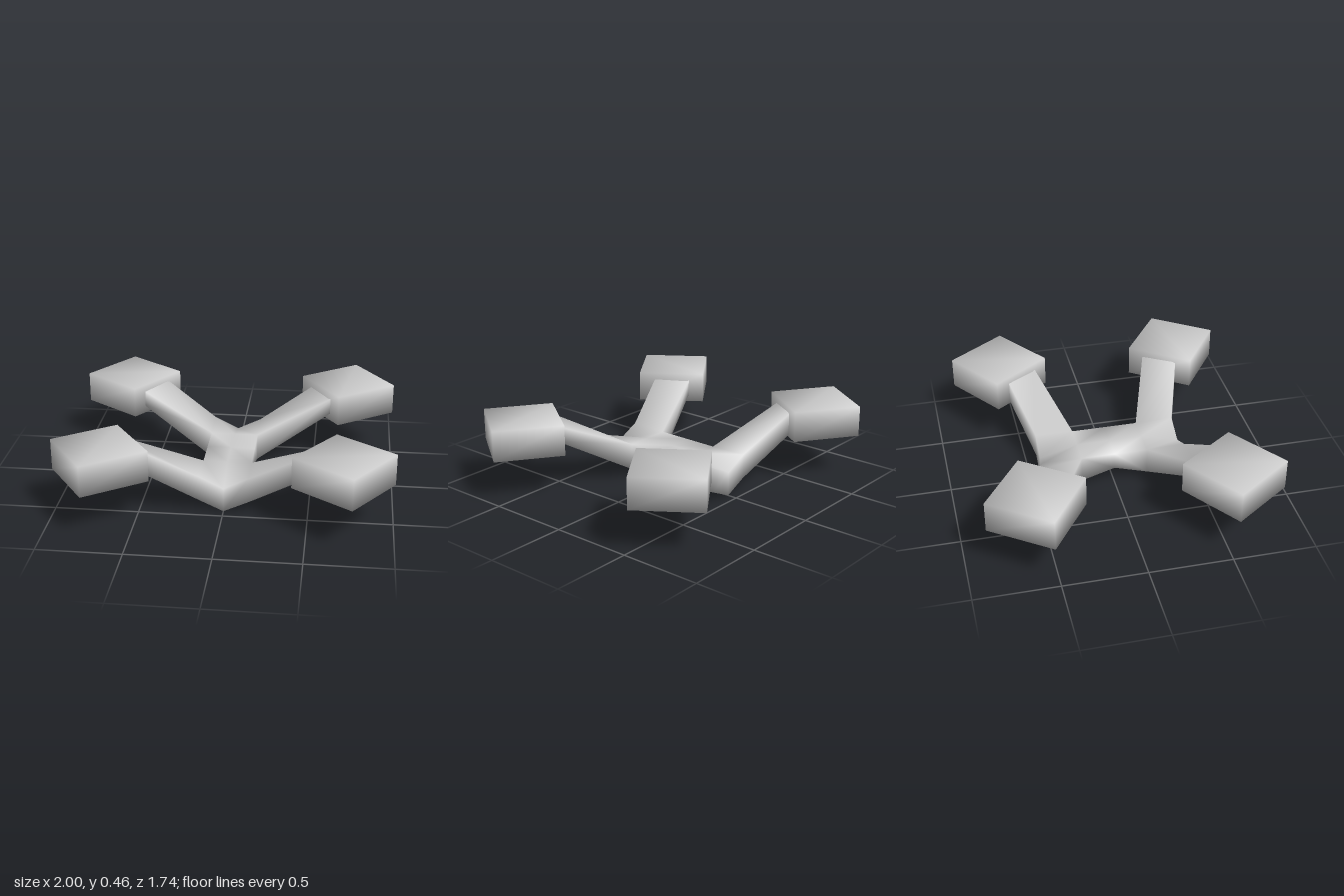
import * as THREE from 'three';
import { mergeVertices } from 'three/addons/utils/BufferGeometryUtils.js';

// Weld shared corners so shading is smooth across every edge
function smooth(geometry) {
  geometry.deleteAttribute('normal');
  geometry.deleteAttribute('uv');
  const welded = mergeVertices(geometry, 1e-4);
  welded.computeVertexNormals();
  return welded;
}

// Corner points of one quarter of the frame: t = top, b = bottom,
// m = centre line, e = arm end inside the block
const P = {
  tm0: [0, 0.215, 0], t0: [0.147, 0.215, 0],
  tm1: [0, 0.215, 0.205], t1: [0.147, 0.215, 0.205],
  tm2: [0, 0.15, 0.44], t2: [0.147, 0.222, 0.44],
  bm0: [0, 0.11, 0], b0: [0.147, 0.11, 0],
  bm1: [0, 0.05, 0.205], b1: [0.147, 0.047, 0.205],
  bm2: [0, 0, 0.44], b2: [0.147, 0.068, 0.44],
  t1e: [0.63, 0.43, 0.37], t2e: [0.51, 0.445, 0.56],
  b1e: [0.63, 0.335, 0.37], b2e: [0.51, 0.31, 0.56],
};

const QUADS = [
  'tm0 tm1 t1 t0', 'tm1 tm2 t2 t1', // spine top
  'bm0 b0 b1 bm1', 'bm1 b1 b2 bm2', // spine underside
  'b0 t0 t1 b1', // spine side
  'bm2 b2 t2 tm2', // end wall
  'b2 b2e t2e t2', 'b1e b1 t1 t1e', 't1 t2 t2e t1e', 'b1 b1e b2e b2', // arm
];

// Mirror the quarter into all four corners
function frameGeometry() {
  const positions = [];
  for (const sx of [1, -1]) {
    for (const sz of [1, -1]) {
      for (const quad of QUADS) {
        let q = quad.split(' ').map((name) => P[name]);
        if (sx * sz < 0) q = q.reverse();
        for (const i of [0, 1, 2, 0, 2, 3]) {
          positions.push(q[i][0] * sx, q[i][1], q[i][2] * sz);
        }
      }
    }
  }
  const geometry = new THREE.BufferGeometry();
  geometry.setAttribute('position', new THREE.Float32BufferAttribute(positions, 3));
  return smooth(geometry);
}

export function createModel() {
  const model = new THREE.Group();
  model.name = 'fourArmFrame';
  const grey = new THREE.MeshStandardMaterial({ color: 0xcccccc, side: THREE.DoubleSide });
  grey.name = 'grey';

  // Spine with four rising arms
  const frame = new THREE.Mesh(frameGeometry(), grey);
  frame.name = 'frame';
  model.add(frame);

  // Square block at the end of each arm
  const blockGeometry = smooth(new THREE.BoxGeometry(0.424, 0.19, 0.424));
  for (const sx of [1, -1]) {
    for (const sz of [1, -1]) {
      const block = new THREE.Mesh(blockGeometry, grey);
      block.name = (sz > 0 ? 'front' : 'back') + (sx > 0 ? 'Left' : 'Right') + 'Block';
      block.position.set(sx * 0.704, 0.367, sz * 0.577);
      block.rotation.y = -sx * sz * THREE.MathUtils.degToRad(35);
      model.add(block);
    }
  }
  return model;
}
